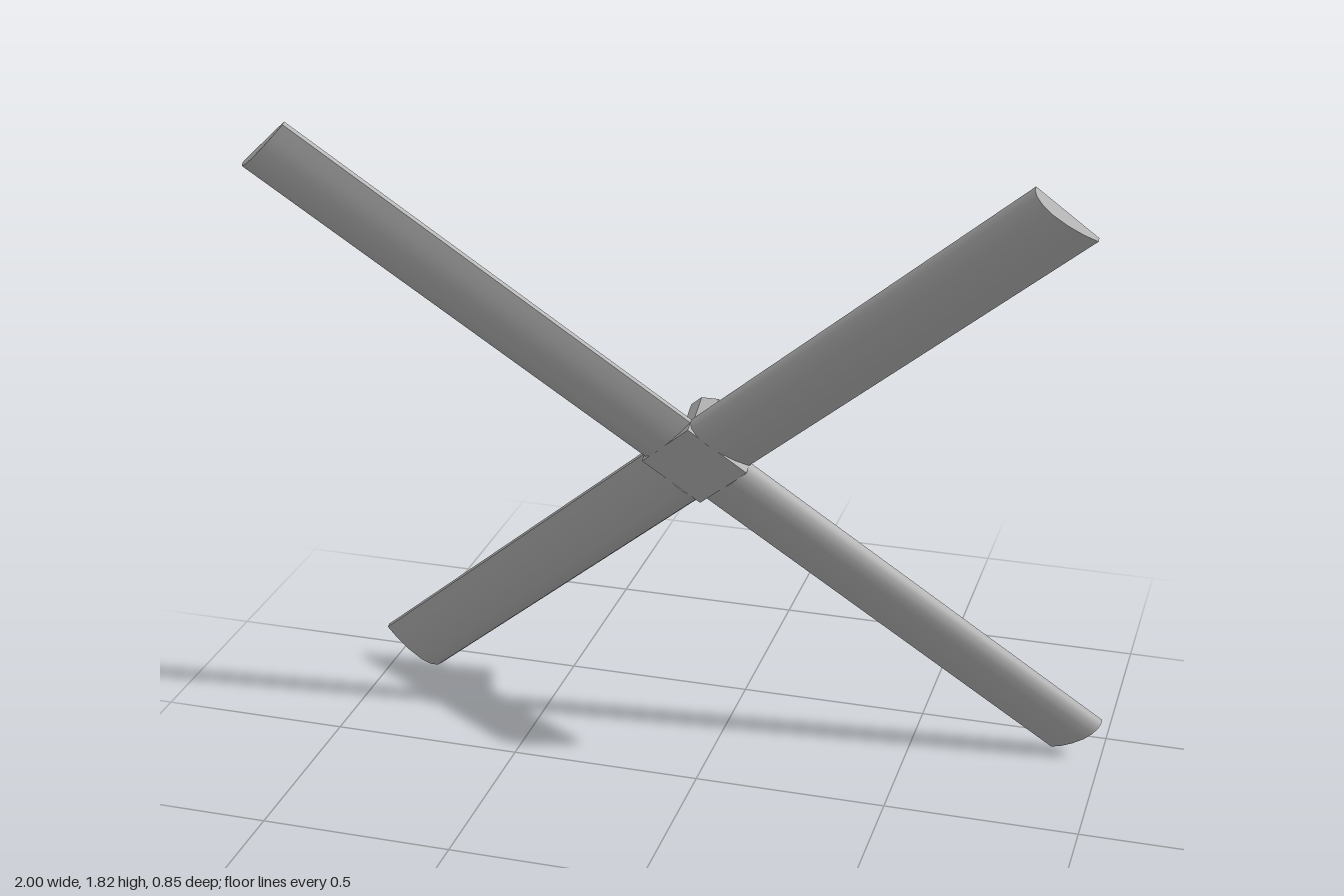
import * as THREE from 'three';
import { toCreasedNormals } from 'three/addons/utils/BufferGeometryUtils.js';

export function createModel() {
  const model = new THREE.Group();
  model.name = 'fourBladeRotor';
  const grey = new THREE.MeshStandardMaterial({ color: 0xb0b0b0 });
  grey.name = 'grey';
  const tubeGrey = grey;
  tubeGrey.side = THREE.DoubleSide;

  const half = 0.095; // half of the blade width
  const tip = 1.319; // hub centre to blade tip

  // Rotor is built flat in xy with its flat back on z = 0, then leaned forward
  const rotor = new THREE.Group();
  rotor.name = 'rotor';
  rotor.rotation.x = THREE.MathUtils.degToRad(24.5);
  rotor.position.set(0, 0.917, -0.013);
  model.add(rotor);

  // Blade section: flat back, round leading edge, thin trailing edge
  const section = new THREE.Shape([
    [-half, 0], [half, 0], [half, 0.012], [0.086, 0.025], [0.066, 0.035],
    [0.035, 0.039], [-0.01, 0.035], [-0.055, 0.025], [-half, 0.011],
  ].map(([u, t]) => new THREE.Vector2(u, t)));
  let bladeGeo = new THREE.ExtrudeGeometry(section, { depth: tip - half, bevelEnabled: false });
  bladeGeo.applyMatrix4(new THREE.Matrix4().makeBasis(
    new THREE.Vector3(0, 1, 0), new THREE.Vector3(0, 0, 1), new THREE.Vector3(1, 0, 0)));
  bladeGeo.translate(half, 0, 0);
  bladeGeo = toCreasedNormals(bladeGeo, 0.75);

  for (let i = 0; i < 4; i++) {
    const blade = new THREE.Mesh(bladeGeo, grey);
    blade.name = 'blade' + (i + 1);
    blade.rotation.z = Math.PI / 4 + (i * Math.PI) / 2;
    rotor.add(blade);
  }

  // Square hub plate between the blades
  const hub = new THREE.Mesh(new THREE.BoxGeometry(2 * half, 2 * half, 0.036), grey);
  hub.name = 'hubPlate';
  hub.rotation.z = Math.PI / 4;
  hub.position.z = 0.018;
  rotor.add(hub);

  // Open eight-sided shaft socket on the back
  const tubeGeo = toCreasedNormals(
    new THREE.CylinderGeometry(0.057, 0.057, 0.15, 8, 1, true).rotateY(Math.PI / 8).rotateX(Math.PI / 2), 0.3);
  const shaft = new THREE.Mesh(tubeGeo, tubeGrey);
  shaft.name = 'shaftSocket';
  shaft.position.z = -0.075;
  rotor.add(shaft);

  return model;
}
